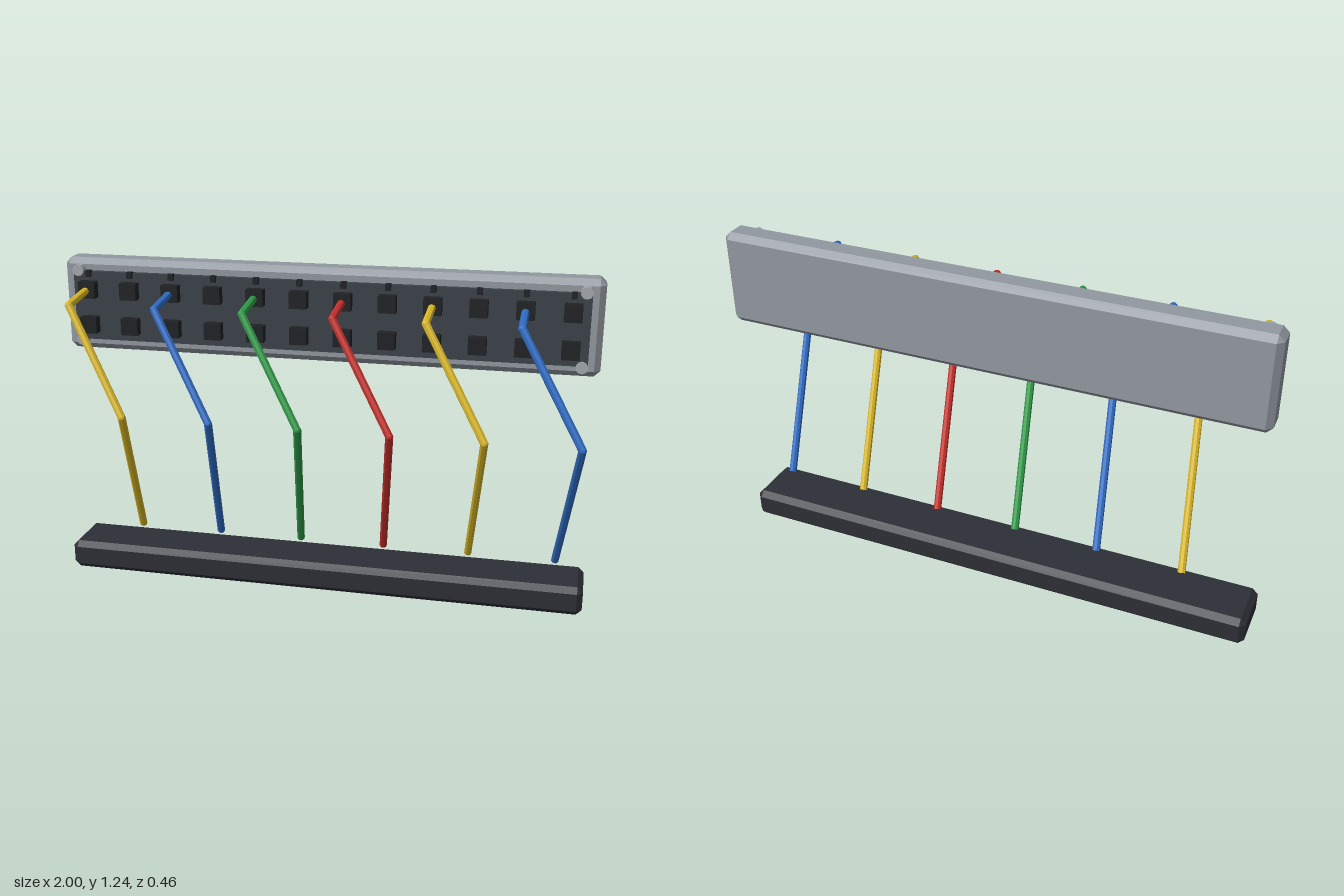
import * as THREE from 'three';
import { ConvexGeometry } from 'three/addons/geometries/ConvexGeometry.js';

const material = (color) => new THREE.MeshStandardMaterial({ color, flatShading: true });

// Box with every edge and corner cut flat
function chamferedBox(w, h, d, c) {
  const points = [];
  for (const sx of [-1, 1]) for (const sy of [-1, 1]) for (const sz of [-1, 1]) {
    const x = w / 2, y = h / 2, z = d / 2;
    points.push(
      new THREE.Vector3(sx * x, sy * (y - c), sz * (z - c)),
      new THREE.Vector3(sx * (x - c), sy * y, sz * (z - c)),
      new THREE.Vector3(sx * (x - c), sy * (y - c), sz * z));
  }
  return new ConvexGeometry(points);
}

function add(parent, name, geometry, mat, x, y, z) {
  const mesh = new THREE.Mesh(geometry, mat);
  mesh.name = name;
  mesh.position.set(x, y, z);
  parent.add(mesh);
  return mesh;
}

// Straight rod between two points
function addRod(parent, name, a, b, radius, mat) {
  const dir = b.clone().sub(a);
  const mid = a.clone().add(b).multiplyScalar(0.5);
  const rod = add(parent, name, new THREE.CylinderGeometry(radius, radius, dir.length(), 8), mat, mid.x, mid.y, mid.z);
  rod.quaternion.setFromUnitVectors(new THREE.Vector3(0, 1, 0), dir.normalize());
}

export function createModel() {
  const model = new THREE.Group();
  model.name = 'patchPanel';

  const metal = material(0x9298a0);
  const boltMetal = material(0xa4a8ac);
  const darkBase = material(0x2c2f36);
  const darkPanel = material(0x3b4049);
  const black = material(0x1f2124);
  const yellow = material(0xd9b726);
  const blue = material(0x2f6cc4);
  const green = material(0x2f9a48);
  const red = material(0xc4302b);

  // Main bodies
  add(model, 'base', chamferedBox(2, 0.112, 0.22, 0.021), darkBase, 0, 0.056, -0.119);
  add(model, 'housing', chamferedBox(2, 0.35, 0.11, 0.022), metal, 0, 1.06, -0.174);
  add(model, 'facePlate', new THREE.BoxGeometry(1.91, 0.26, 0.03), darkPanel, 0, 1.06, -0.112);

  // Corner bolts
  const boltGeometry = new THREE.CylinderGeometry(0.022, 0.022, 0.035, 10).rotateX(Math.PI / 2);
  for (const x of [-0.935, 0.935]) for (const y of [0.927, 1.193]) {
    add(model, 'cornerBolt', boltGeometry, boltMetal, x, y, -0.107);
  }

  // Two rows of sockets with an indicator over each column
  const columnX = (i) => (i - 5.5) * 0.1624;
  const socketGeometry = new THREE.BoxGeometry(0.064, 0.062, 0.04);
  const indicatorGeometry = new THREE.BoxGeometry(0.02, 0.024, 0.02);
  for (let i = 0; i < 12; i++) {
    add(model, 'upperSocket', socketGeometry, black, columnX(i), 1.125, -0.08);
    add(model, 'lowerSocket', socketGeometry, black, columnX(i), 0.991, -0.08);
    add(model, 'indicator', indicatorGeometry, black, columnX(i), 1.183, -0.094);
  }

  // Bent cables in every second column
  [yellow, blue, green, red, yellow, blue].forEach((mat, i) => {
    const x = columnX(i * 2);
    const cable = new THREE.Group();
    cable.name = 'cable';
    const path = [
      new THREE.Vector3(x, 1.124, -0.052),
      new THREE.Vector3(x, 1.104, 0.103),
      new THREE.Vector3(x + 0.225, 0.727, 0.213),
      new THREE.Vector3(x + 0.159, 0.172, -0.118),
    ];
    for (let k = 0; k < 3; k++) addRod(cable, 'cableSegment', path[k], path[k + 1], 0.0145, mat);
    // Bend joints
    for (const p of [path[1], path[2]]) {
      add(cable, 'cableBend', new THREE.IcosahedronGeometry(0.0145, 1), mat, p.x, p.y, p.z);
    }
    model.add(cable);
  });

  return model;
}
